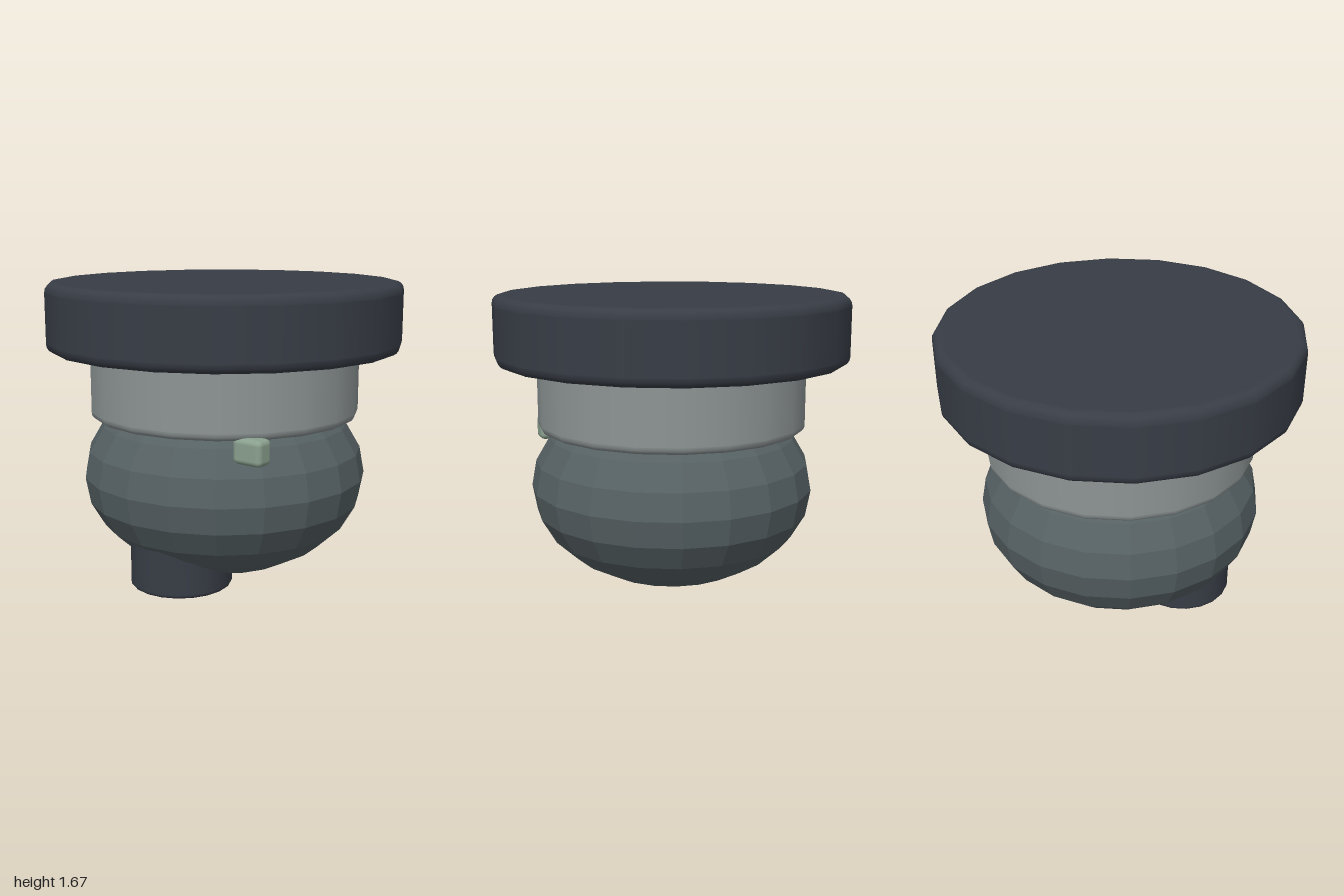
import * as THREE from 'three';
import { RoundedBoxGeometry } from 'three/addons/geometries/RoundedBoxGeometry.js';

const SIDES = 20;
const dark = new THREE.MeshStandardMaterial({ color: 0x383d46 });
const slate = new THREE.MeshStandardMaterial({ color: 0x566164 });
const grey = new THREE.MeshStandardMaterial({ color: 0x8e9595 });
const green = new THREE.MeshStandardMaterial({ color: 0x8ba18f });
dark.name = 'dark charcoal';
slate.name = 'slate';
grey.name = 'light grey';
green.name = 'pale green';

// Closed drum with rounded rims, standing from y0 to y1
function drum(radius, y0, y1, bevel) {
  const e = 0.004, steps = 4;
  const pts = [new THREE.Vector2(0, y0), new THREE.Vector2(radius - bevel - e, y0)];
  for (let i = 0; i <= steps; i++) {
    const a = (i / steps) * Math.PI / 2;
    pts.push(new THREE.Vector2(radius - bevel + bevel * Math.sin(a), y0 + bevel - bevel * Math.cos(a)));
  }
  pts.push(new THREE.Vector2(radius, y0 + bevel + e), new THREE.Vector2(radius, y1 - bevel - e));
  for (let i = 0; i <= steps; i++) {
    const a = (i / steps) * Math.PI / 2;
    pts.push(new THREE.Vector2(radius - bevel + bevel * Math.cos(a), y1 - bevel + bevel * Math.sin(a)));
  }
  pts.push(new THREE.Vector2(radius - bevel - e, y1), new THREE.Vector2(0, y1));
  return new THREE.LatheGeometry(pts, SIDES);
}

export function createModel() {
  const model = new THREE.Group();
  const add = (name, geometry, material, x = 0, y = 0, z = 0) => {
    const mesh = new THREE.Mesh(geometry, material);
    mesh.name = name;
    mesh.position.set(x, y, z);
    model.add(mesh);
  };

  // Wide lid and the collar below it
  add('lid', drum(1, 1.29, 1.67, 0.05), dark);
  add('collar', drum(0.763, 0.91, 1.32, 0.04), grey);

  // Faceted, squashed ball
  const ball = new THREE.SphereGeometry(1, SIDES, 12).scale(0.807, 0.57, 0.807).toNonIndexed();
  ball.computeVertexNormals();
  add('body', ball, slate, 0, 0.575, 0);

  // Short spout under the front
  add('spout', drum(0.285, 0, 0.38, 0.02), dark, 0, 0, 0.383);

  // Small knob on the front left
  add('knob', new RoundedBoxGeometry(0.18, 0.14, 0.11, 3, 0.03), green, 0.57, 0.86, 0.48);

  return model;
}
